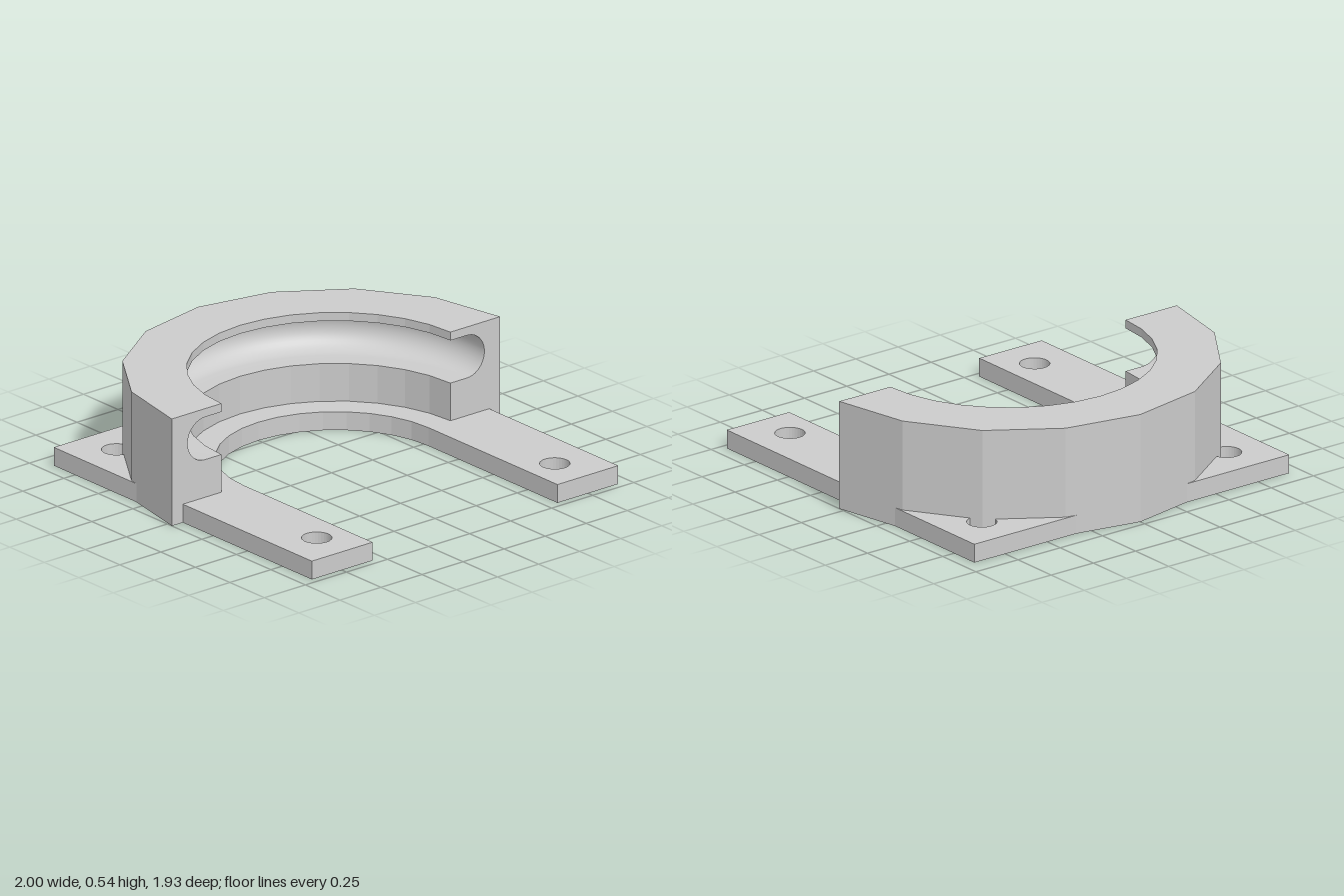
import * as THREE from 'three';
import { toCreasedNormals } from 'three/addons/utils/BufferGeometryUtils.js';

const CZ = 0.032; // z of the common ring centre
const PLATE_H = 0.092, WALL_H = 0.537;

// Radius of a regular polygon (corner radius r, half turn split in n sides) at angle a
function polygonRadius(r, n, a) {
  const side = Math.PI / n;
  const off = a - (Math.floor(a / side + 1e-6) + 0.5) * side;
  return r * Math.cos(side / 2) / Math.cos(off);
}

// U-shaped base plate with four bolt holes
function basePlate() {
  const pts = [[-0.933, -0.967], [-0.563, -0.967]];
  for (let i = 0; i <= 16; i++) {
    const a = Math.PI * (1 - i / 16);
    pts.push([0.563 * Math.cos(a), 0.563 * Math.sin(a) - CZ]);
  }
  pts.push([0.563, -0.967], [0.933, -0.967], [0.933, 0.903], [-0.933, 0.903]);
  const shape = new THREE.Shape(pts.map(([x, y]) => new THREE.Vector2(x, y)));
  for (const x of [-0.725, 0.725]) {
    for (const y of [-0.755, 0.695]) {
      shape.holes.push(new THREE.Path().absarc(x, y, 0.071, 0, Math.PI * 2, true));
    }
  }
  const g = new THREE.ExtrudeGeometry(shape, { depth: PLATE_H, bevelEnabled: false, curveSegments: 16 });
  g.rotateX(-Math.PI / 2);
  return g;
}

// Half-ring wall: faceted outside, rounded groove inside
function grooveWall() {
  const STEPS = 96, ARC = 20;
  const outer = a => polygonRadius(1, 8, a);
  const inner = a => polygonRadius(0.697, 16, a);
  const mid = 0.388, gr = 0.107;
  const profile = [[outer, 0], [outer, WALL_H], [inner, WALL_H], [inner, mid + gr]];
  for (let i = 0; i <= ARC; i++) {
    const t = Math.PI * (0.5 - i / ARC);
    profile.push([() => 0.797 + gr * Math.cos(t), mid + gr * Math.sin(t)]);
  }
  profile.push([inner, mid - gr], [inner, 0]);

  const n = profile.length, pos = [], index = [];
  for (let i = 0; i <= STEPS; i++) {
    const a = Math.PI * i / STEPS;
    for (const [radius, y] of profile) {
      const r = radius(a);
      pos.push(r * Math.cos(a), y, CZ - r * Math.sin(a));
    }
  }
  for (let i = 0; i < STEPS; i++) {
    for (let j = 0; j < n; j++) {
      const k = (j + 1) % n;
      const A = i * n + j, B = i * n + k, C = B + n, D = A + n;
      index.push(A, D, C, A, C, B);
    }
  }
  // flat cut ends
  const section = profile.map(([radius, y]) => new THREE.Vector2(radius(0), y));
  const last = STEPS * n;
  for (const [p, q, r] of THREE.ShapeUtils.triangulateShape(section, [])) {
    index.push(p, q, r, last + p, last + r, last + q);
  }
  const g = new THREE.BufferGeometry();
  g.setAttribute('position', new THREE.Float32BufferAttribute(pos, 3));
  g.setIndex(index);
  return toCreasedNormals(g, 0.175);
}

export function createModel() {
  const group = new THREE.Group();
  group.name = 'ringHolder';
  const material = new THREE.MeshStandardMaterial({ color: 0xcccccc });
  for (const [name, geometry] of [['basePlate', basePlate()], ['groovedWall', grooveWall()]]) {
    const mesh = new THREE.Mesh(geometry, material);
    mesh.name = name;
    group.add(mesh);
  }
  return group;
}
